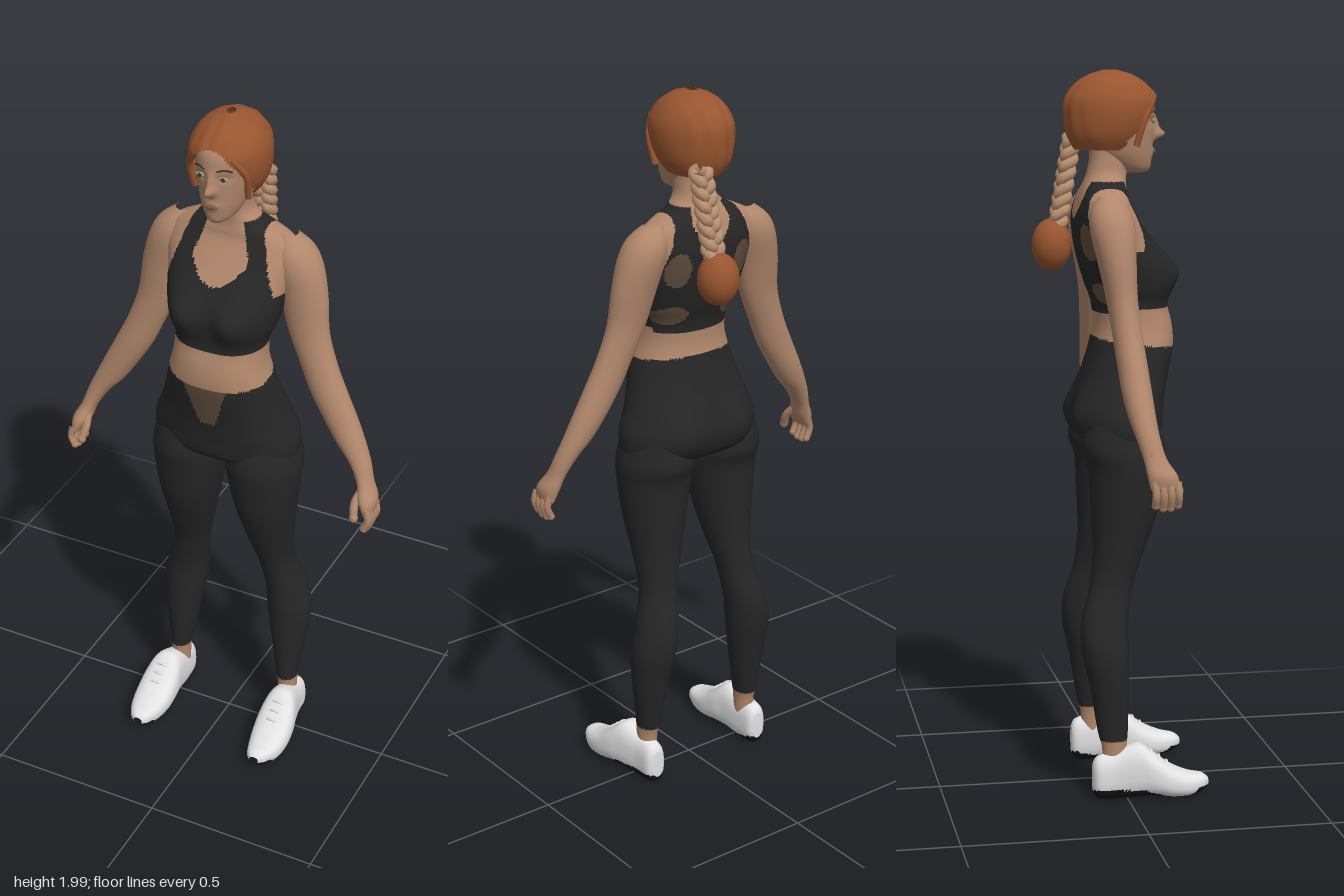
import * as THREE from 'three';

const mat = (name, color, side = THREE.FrontSide) => {
  const m = new THREE.MeshStandardMaterial({ color, side });
  m.name = name;
  return m;
};
const skin = mat('skin', 0xb1876b);
const black = mat('black fabric', 0x262626);
const patch = mat('worn patch', 0x5f4d3d);
const hairMat = mat('auburn hair', 0x98552f, THREE.DoubleSide);
const braidMat = mat('pale braid', 0xb98f70);
const white = mat('shoe white', 0xe2e2e2);
const sole = mat('sole black', 0x141414);
const lipMat = mat('lips', 0x8f5d4c);
const eyeMat = mat('eye', 0x9aa08e);
const dark = mat('brow and pupil', 0x4a3426);

// Smooth interpolation through rows of numbers
function sample(rows, t) {
  const n = rows.length - 1, f = t * n, i = Math.min(Math.floor(f), n - 1), u = f - i;
  const at = k => rows[Math.max(0, Math.min(n, k))];
  return rows[0].map((_, k) => {
    const a = at(i)[k], b = at(i + 1)[k];
    const m0 = (b - at(i - 1)[k]) / 2, m1 = (at(i + 2)[k] - a) / 2;
    return a + m0 * u + (3 * (b - a) - 2 * m0 - m1) * u * u + (2 * (a - b) + m0 + m1) * u ** 3;
  });
}

// Closed loft from rows [y, xMin, xMax, zFront, zBack] with y rising.
// pick(x, y, z) gives the material index of a triangle, or -1 to leave it out.
function loft(name, rows, materials, { rings = 60, around = 40, n = 1, warp, pick = () => 0 } = {}) {
  const pos = [], lists = materials.map(() => []);
  const pw = s => Math.sign(s) * Math.abs(s) ** n;
  for (let i = -1; i <= rings + 1; i++) {
    const [y, x0, x1, zf, zb] = sample(rows, Math.max(0, Math.min(rings, i)) / rings);
    const k = i < 0 || i > rings ? 0 : 0.5;
    for (let j = 0; j < around; j++) {
      const a = (j / around) * Math.PI * 2;
      const v = new THREE.Vector3((x0 + x1) / 2 + k * (x1 - x0) * pw(Math.sin(a)), y,
        (zf + zb) / 2 + k * (zf - zb) * pw(Math.cos(a)));
      if (warp && k) warp(v, Math.cos(a));
      pos.push(v.x, v.y, v.z);
    }
  }
  const tri = (...t) => {
    const c = [0, 1, 2].map(k => t.reduce((s, q) => s + pos[q * 3 + k], 0) / 3);
    const m = pick(...c);
    if (m >= 0) lists[m].push(...t);
  };
  for (let i = 0; i < rings + 2; i++) for (let j = 0; j < around; j++) {
    const a = i * around + j, b = i * around + (j + 1) % around;
    if (i <= rings) tri(a, b, b + around);
    if (i > 0) tri(a, b + around, a + around);
    else tri(b, b + around, a + around);
  }
  const g = new THREE.BufferGeometry();
  g.setAttribute('position', new THREE.Float32BufferAttribute(pos, 3));
  g.setIndex(lists.flat());
  let start = 0;
  lists.forEach((l, k) => { g.addGroup(start, l.length, k); start += l.length; });
  g.computeVertexNormals();
  const mesh = new THREE.Mesh(g, materials);
  mesh.name = name;
  return mesh;
}
const sym = rows => rows.map(([y, w, f, b]) => [y, -w, w, f, b]);
const bump = (v, x, y, sx, sy) => Math.exp(-(((v.x - x) / sx) ** 2) - ((v.y - y) / sy) ** 2);

function tube(name, pts, r, material, segs = 12) {
  const curve = new THREE.CatmullRomCurve3(pts.map(p => new THREE.Vector3(...p)));
  const m = new THREE.Mesh(new THREE.TubeGeometry(curve, segs, r, 8), material);
  m.name = name;
  return m;
}
function blob(name, p, s, material) {
  const m = new THREE.Mesh(new THREE.SphereGeometry(1, 24, 16), material);
  m.position.set(...p);
  m.scale.set(...s);
  m.name = name;
  return m;
}

// Clothing layout on the torso: 0 skin, 1 fabric, 2 patch
function torsoColour(x, y, z) {
  const ax = Math.abs(x), front = z > 0;
  if (y < 1.268 - z * 0.12) {
    const w = 0.022 + Math.max(0, y - 1.12) * 0.32;
    return front && y > 1.12 && ax < w ? 2 : 1;
  }
  if (y < 1.36 - (front ? 0 : 0.015) || y > 1.7) return 0;
  if (!front) {
    const inside = (cx, cy, rx, ry) => ((ax - cx) / rx) ** 2 + ((y - cy) / ry) ** 2 < 1;
    if (inside(0.105, 1.54, 0.035, 0.05) || inside(0.1, 1.4, 0.045, 0.028)) return 2;
  }
  const arm = y < 1.52 ? 1 : 0.155 - (y - 1.52) * 0.32;
  const low = front ? 1.535 : 1.6;
  const neck = y < low ? -1 : 0.08 * Math.min(1, Math.sqrt((y - low) / 0.06)) - Math.max(0, y - 1.6) * 0.3;
  return ax < arm && ax > neck ? 1 : 0;
}

function side(s) {
  const g = new THREE.Group();
  g.name = s > 0 ? 'leftLimbs' : 'rightLimbs';
  // Leg with leggings ending above the ankle
  g.add(loft('leg', [
    [0.08, 0.15, 0.205, 0, -0.065], [0.15, 0.149, 0.204, 0, -0.068], [0.2, 0.141, 0.208, 0.004, -0.08],
    [0.33, 0.118, 0.226, 0.007, -0.102], [0.42, 0.104, 0.232, 0.008, -0.121], [0.5, 0.097, 0.215, 0.008, -0.122],
    [0.6, 0.083, 0.188, 0.025, -0.095], [0.7, 0.056, 0.192, 0.06, -0.084], [0.81, 0.03, 0.206, 0.098, -0.088],
    [0.92, 0.008, 0.219, 0.115, -0.094], [0.98, 0.003, 0.22, 0.12, -0.112], [1.06, 0.015, 0.2, 0.1, -0.1],
  ], [skin, black], { rings: 90, pick: (x, y) => (y > 0.172 ? 1 : 0) }));
  // Arm from shoulder cap to palm
  g.add(loft('arm', [
    [0.925, 0.436, 0.464, 0.09, 0.012], [0.96, 0.415, 0.467, 0.085, 0.005], [1.0, 0.402, 0.448, 0.06, -0.002],
    [1.05, 0.37, 0.432, 0.047, -0.016], [1.1, 0.325, 0.411, 0.042, -0.03], [1.16, 0.284, 0.383, 0.038, -0.041],
    [1.23, 0.241, 0.349, 0.033, -0.047], [1.31, 0.205, 0.312, 0.026, -0.054], [1.4, 0.166, 0.283, 0.02, -0.064],
    [1.5, 0.138, 0.271, 0.02, -0.084], [1.58, 0.115, 0.252, 0.022, -0.1], [1.63, 0.11, 0.225, 0.01, -0.095],
    [1.667, 0.125, 0.178, -0.02, -0.07],
  ], [skin], { rings: 80 }));
  // Fingers and thumb
  for (let i = 0; i < 4; i++) {
    const z = 0.023 + 0.02 * i, tip = 0.882 - 0.008 * Math.sin(i * 1.05);
    g.add(tube('finger', [[0.452, 0.945, z], [0.46, 0.91, z + 0.002], [0.449, tip, z + 0.002]], 0.0105, skin));
    g.add(blob('fingertip', [0.449, tip, z + 0.002], [0.0105, 0.0105, 0.0105], skin));
  }
  g.add(tube('thumb', [[0.425, 0.985, 0.04], [0.415, 0.95, 0.075], [0.421, 0.915, 0.093]], 0.012, skin));
  g.add(blob('thumbTip', [0.421, 0.915, 0.093], [0.012, 0.014, 0.012], skin));
  // Shoe, lofted from heel to toe and laid down
  const shoe = loft('shoe', [
    [-0.095, 0.165, 0.2, 0.03, 0.11], [-0.08, 0.153, 0.215, 0.011, 0.13], [-0.03, 0.148, 0.22, 0.008, 0.143],
    [0.03, 0.143, 0.236, 0.012, 0.163], [0.07, 0.137, 0.247, 0.016, 0.138], [0.12, 0.138, 0.25, 0.01, 0.1],
    [0.17, 0.148, 0.242, 0.01, 0.077], [0.21, 0.162, 0.223, 0.022, 0.068], [0.227, 0.178, 0.205, 0.034, 0.056],
  ].map(([z, a, b, lo, hi]) => [z, a, b, -lo, -hi]), [white, sole], {
    n: 0.8,
    pick: (x, y, z) => (-z < 0.016 || (-z < 0.038 && Math.abs(x - 0.194) < 0.038) ? 1 : 0),
  });
  shoe.geometry.rotateX(Math.PI / 2);
  g.add(shoe);
  for (let i = 0; i < 3; i++) {
    const z = 0.062 + i * 0.022, y = 0.141 - i * 0.017;
    g.add(tube('lace', [[0.168, y - 0.007, z], [0.192, y + 0.002, z + 0.004], [0.216, y - 0.007, z]], 0.004, white));
  }
  // Eye and brow
  g.add(blob('eye', [0.033, 1.862, 0.1], [0.014, 0.007, 0.004], eyeMat));
  g.add(blob('pupil', [0.033, 1.862, 0.1035], [0.006, 0.006, 0.002], dark));
  g.add(tube('brow', [[0.016, 1.883, 0.106], [0.034, 1.888, 0.1], [0.052, 1.881, 0.086]], 0.003, dark));
  if (s < 0) mirror(g);
  return g;
}
// Mirror in x and turn the faces back outward
function mirror(group) {
  group.children.forEach(m => {
    m.position.x *= -1;
    m.geometry.scale(-1, 1, 1);
    const ix = m.geometry.index;
    for (let i = 0; i < ix.count; i += 3) {
      const a = ix.getX(i);
      ix.setX(i, ix.getX(i + 1));
      ix.setX(i + 1, a);
    }
    m.geometry.computeVertexNormals();
  });
}

export function createModel() {
  const model = new THREE.Group();
  model.name = 'athlete';
  // Torso and neck with bust and seat shaped by rule
  model.add(loft('torso', sym([
    [0.97, 0.17, 0.07, -0.06], [1.0, 0.208, 0.115, -0.095], [1.06, 0.212, 0.125, -0.108], [1.12, 0.188, 0.133, -0.105],
    [1.18, 0.167, 0.145, -0.09], [1.25, 0.147, 0.158, -0.07], [1.31, 0.131, 0.155, -0.06], [1.37, 0.13, 0.137, -0.065],
    [1.42, 0.15, 0.13, -0.082], [1.48, 0.165, 0.12, -0.1], [1.54, 0.175, 0.095, -0.112], [1.6, 0.187, 0.06, -0.115],
    [1.645, 0.175, 0.035, -0.105], [1.672, 0.13, 0.03, -0.096], [1.692, 0.086, 0.028, -0.088],
    [1.72, 0.058, 0.031, -0.078], [1.76, 0.051, 0.036, -0.07], [1.8, 0.05, 0.04, -0.07],
  ]), [skin, black, patch], {
    rings: 150, around: 128, n: 0.9, pick: torsoColour,
    warp: (v, c) => {
      for (const s of [-1, 1]) {
        if (c > 0) v.z += 0.05 * Math.sqrt(c) * bump(v, s * 0.08, 1.455, 0.062, 0.065);
        else v.z -= 0.032 * Math.sqrt(-c) * bump(v, s * 0.095, 1.055, 0.075, 0.075);
      }
    },
  }));
  // Head with nose, chin and eye sockets
  model.add(loft('head', sym([
    [1.722, 0.018, 0.088, 0.03], [1.735, 0.038, 0.098, -0.01], [1.765, 0.056, 0.102, -0.05], [1.8, 0.067, 0.104, -0.075],
    [1.84, 0.075, 0.107, -0.09], [1.88, 0.08, 0.11, -0.1], [1.93, 0.078, 0.1, -0.1], [1.97, 0.045, 0.05, -0.06],
  ]), [skin], {
    rings: 60, around: 72,
    warp: (v, c) => {
      if (c <= 0) return;
      v.z += 0.03 * bump(v, 0, 1.825, 0.012, 0.014) + 0.014 * bump(v, 0, 1.85, 0.01, 0.022);
      v.z += 0.006 * bump(v, 0, 1.778, 0.02, 0.012);
      for (const s of [-1, 1]) v.z -= 0.007 * bump(v, s * 0.033, 1.862, 0.02, 0.012);
    },
  }));
  model.add(blob('lips', [0, 1.779, 0.107], [0.021, 0.008, 0.005], lipMat));
  // Swept-back hair, open around the face
  model.add(loft('hair', sym([
    [1.775, 0.068, 0.05, -0.105], [1.82, 0.094, 0.09, -0.131], [1.87, 0.105, 0.114, -0.14], [1.92, 0.102, 0.118, -0.138],
    [1.96, 0.081, 0.088, -0.112], [1.985, 0.051, 0.05, -0.075], [1.999, 0.012, 0.005, -0.03],
  ]), [hairMat], {
    rings: 70, around: 96,
    warp: (v, c) => { v.z += 0.002 * Math.sin(v.x * 160) * Math.abs(c); },
    pick: (x, y, z) => {
      if (y < 1.785 + Math.max(0, z) * 0.7) return -1;
      return z > 0.02 && (x / 0.083) ** 2 + ((y - 1.8) / 0.14) ** 2 < 1 ? -1 : 0;
    },
  }));
  // Face-framing locks
  for (const s of [-1, 1]) {
    model.add(tube('lock', [[s * 0.05, 1.92, 0.096], [s * 0.08, 1.87, 0.068], [s * 0.077, 1.795, 0.045]], 0.009, hairMat));
  }
  // Three-strand braid ending in a round bundle
  for (let k = 0; k < 3; k++) {
    const pts = [];
    for (let i = 0; i <= 24; i++) {
      const t = i / 24, a = t * Math.PI * 5 + (k * Math.PI * 2) / 3;
      pts.push([0.048 - 0.016 * t + 0.018 * Math.sin(a), 1.82 - 0.25 * t, -0.11 - 0.045 * t + 0.012 * Math.sin(2 * a)]);
    }
    model.add(tube('braidStrand', pts, 0.016, braidMat, 72));
  }
  model.add(blob('braidEnd', [0.032, 1.525, -0.17], [0.058, 0.072, 0.055], hairMat));
  model.add(side(1), side(-1));
  return model;
}
